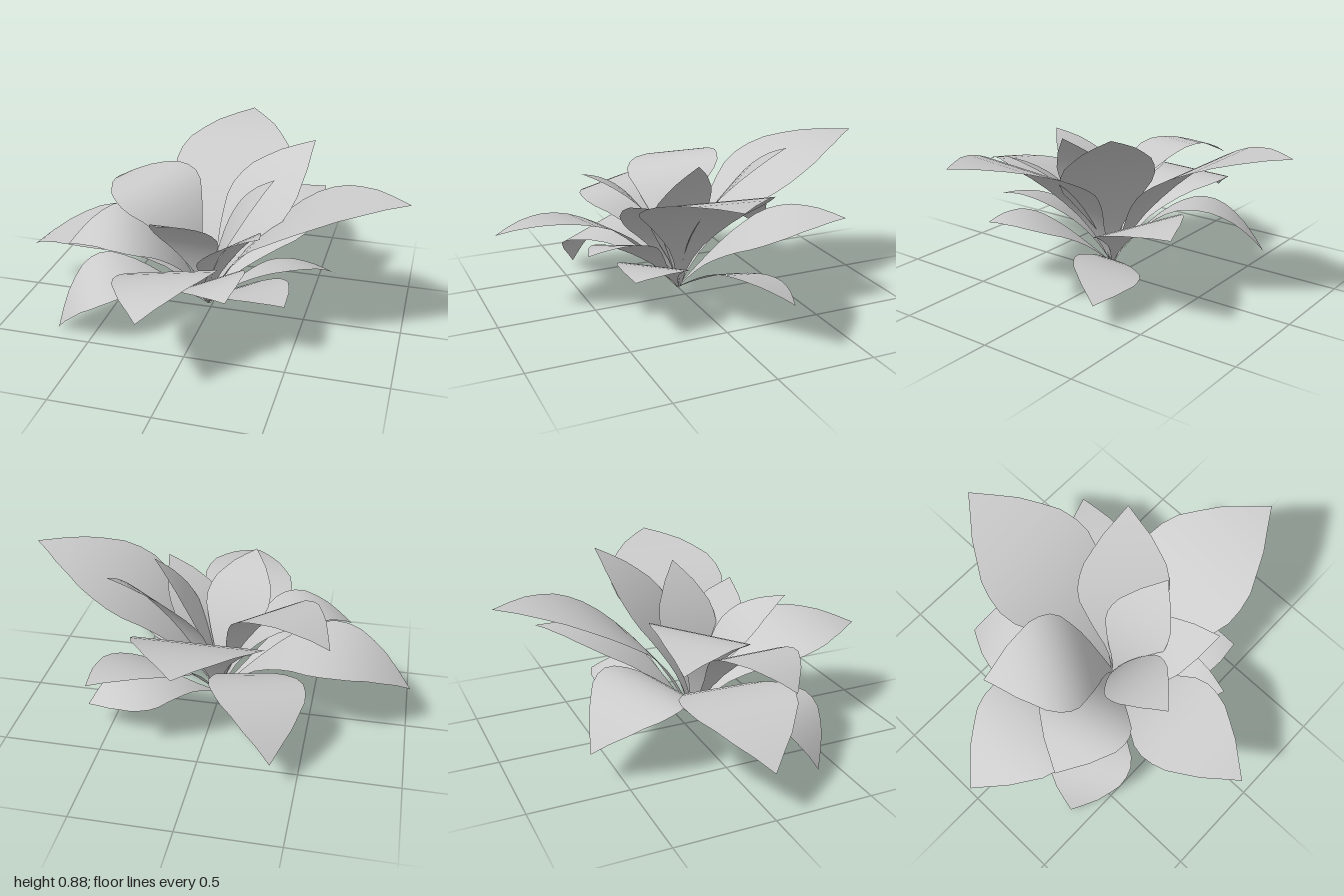
import * as THREE from 'three';

const material = new THREE.MeshStandardMaterial({ color: 0xcccccc, side: THREE.DoubleSide });
const base = new THREE.Vector3(0, 0.05, 0.04);

// Half width along a leaf: slim stalk, broad blade, pointed tip
const outline = [[0, 0.04], [0.1, 0.1], [0.2, 0.25], [0.35, 0.6], [0.5, 0.92], [0.6, 1], [0.72, 0.86], [0.86, 0.5], [1, 0]];

function widthAt(t) {
  const i = Math.max(1, outline.findIndex(([u]) => u >= t - 1e-6));
  const [u0, w0] = outline[i - 1], [u1, w1] = outline[i];
  return THREE.MathUtils.lerp(w0, w1, (t - u0) / (u1 - u0));
}

// A flat strip bent along an arching curve from the base to the tip.
// bendR and bendY steer the arch (distance outward and height);
// roll turns the whole leaf, in degrees, about the line from base to tip.
function makeLeaf(name, tipPoint, bendR, bendY, halfWidth, roll) {
  const tip = new THREE.Vector3(...tipPoint);
  const chord = tip.clone().sub(base).normalize();
  const angle = THREE.MathUtils.degToRad(roll);
  const out = chord.clone().setY(0).normalize();
  const across = new THREE.Vector3(out.z, 0, -out.x).applyAxisAngle(chord, angle);
  const bend = out.multiplyScalar(bendR).setY(bendY - base.y).applyAxisAngle(chord, angle).add(base);
  const spine = new THREE.QuadraticBezierCurve3(base, bend, tip);

  const geometry = new THREE.PlaneGeometry(2, 1, 2, 14);
  const pos = geometry.attributes.position;
  for (let i = 0; i < pos.count; i++) {
    const t = pos.getY(i) + 0.5;
    const p = spine.getPoint(t).addScaledVector(across, -pos.getX(i) * halfWidth * widthAt(t));
    pos.setXYZ(i, p.x, p.y, p.z);
  }
  geometry.computeVertexNormals();
  const mesh = new THREE.Mesh(geometry, material);
  mesh.name = name;
  return mesh;
}

// tip, bend distance, bend height, half width, roll
const leaves = {
  // Large outer leaves
  backLeaf: [[0, 0.8, -0.97], 0.3, 0.78, 0.32, 0],
  leftLeaf: [[1, 0.79, 0.18], 0.3, 0.77, 0.32, 0],
  frontLeaf: [[-0.07, 0.45, 0.97], 0.38, 0.64, 0.25, 11],
  rightLeaf: [[-1, 0.24, -0.01], 0.5, 0.68, 0.285, 0],
  // Upright middle leaves
  tallLeaf: [[0.47, 0.88, -0.31], 0.13, 0.62, 0.24, 10],
  broadLeaf: [[-0.6, 0.58, -0.27], 0.15, 0.9, 0.255, -11],
  rightFrontLeaf: [[-0.67, 0.42, 0.28], 0.33, 0.76, 0.245, -8],
  // Drooping lower leaves
  lowBackLeftLeaf: [[0.49, 0.49, -0.65], 0.35, 0.52, 0.22, 8],
  lowBackRightLeaf: [[-0.38, 0.16, -0.65], 0.42, 0.68, 0.25, -10],
  lowLeftLeaf: [[0.61, 0.13, -0.31], 0.4, 0.32, 0.17, -16],
  lowRightLeaf: [[-0.7, 0, 0.4], 0.58, 0.57, 0.22, -8],
  lowFrontLeaf: [[0.23, 0.39, 0.6], 0.27, 0.47, 0.17, 14],
  lowFrontLeftLeaf: [[0.48, 0.33, 0.46], 0.35, 0.4, 0.18, 0],
  // Small inner leaves
  innerFrontLeaf: [[-0.12, 0.69, 0.51], 0.1, 0.58, 0.175, 7],
  innerLeftLeaf: [[0.34, 0.8, 0.08], 0.02, 0.5, 0.18, 17],
  innerFrontLeftLeaf: [[0.35, 0.65, 0.43], 0.11, 0.5, 0.17, 10],
};

export function createModel() {
  const plant = new THREE.Group();
  plant.name = 'leafRosette';
  for (const [name, spec] of Object.entries(leaves)) plant.add(makeLeaf(name, ...spec));
  return plant;
}
